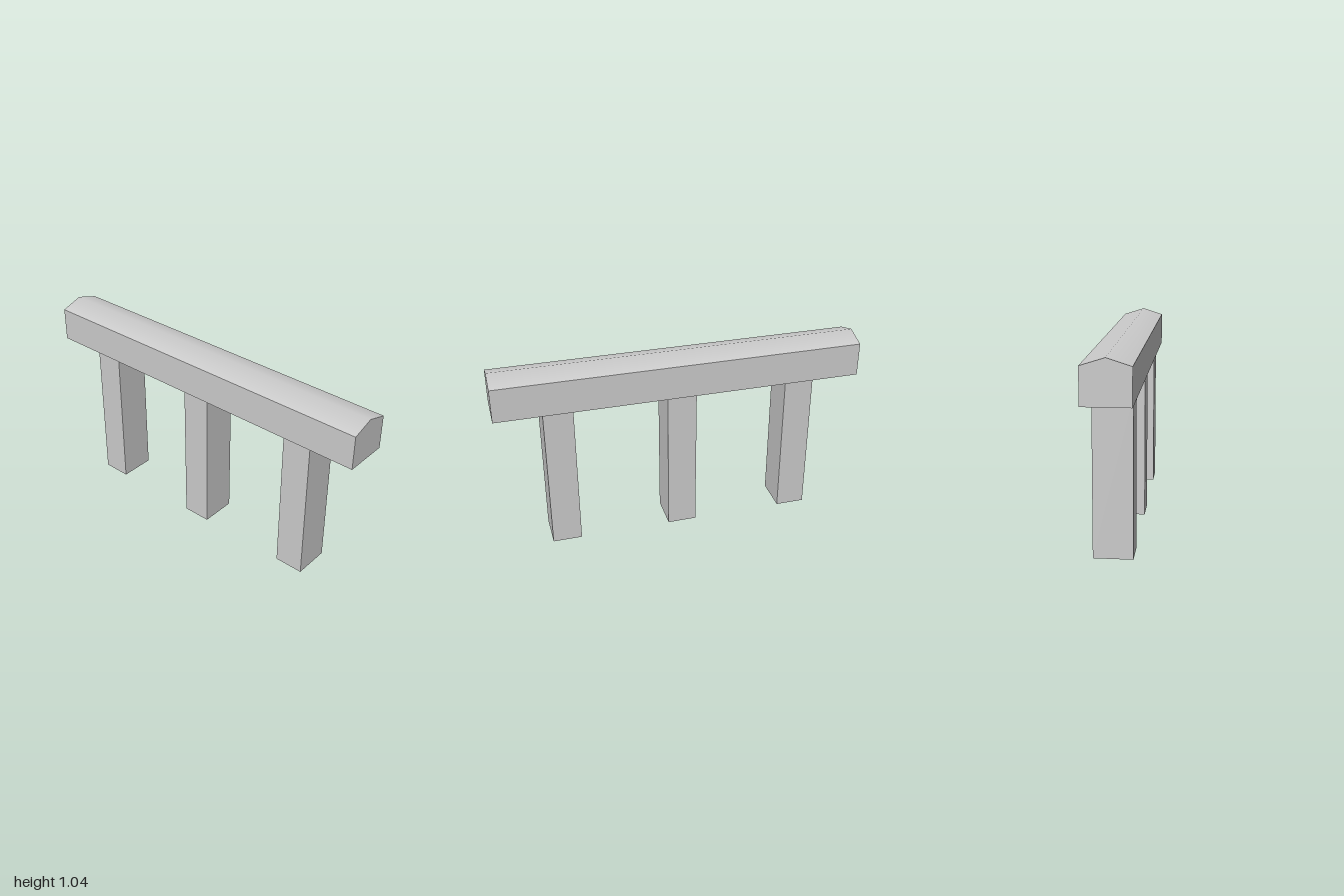
import * as THREE from 'three';

const stone = new THREE.MeshStandardMaterial({ color: 0xcccccc, side: THREE.DoubleSide });
stone.name = 'light grey stone';

const LENGTH = 2, BASE = 0.815, EAVE = 1.0, RIDGE = 1.038, HALF_DEPTH = 0.12;

// Long beam with a shallow gabled top, its two slopes shaded smoothly across the ridge
function beamGeometry() {
  const profile = new THREE.Shape([
    [-HALF_DEPTH, BASE], [HALF_DEPTH, BASE], [HALF_DEPTH, EAVE], [0, RIDGE], [-HALF_DEPTH, EAVE],
  ].map(([x, y]) => new THREE.Vector2(x, y)));
  const geometry = new THREE.ExtrudeGeometry(profile, { depth: LENGTH, bevelEnabled: false });
  geometry.translate(0, 0, -LENGTH / 2).rotateY(Math.PI / 2);
  const { position, normal } = geometry.attributes;
  for (let i = 0; i < position.count; i++) {
    if (position.getY(i) > RIDGE - 0.001 && normal.getY(i) > 0.5) normal.setXYZ(i, 0, 1, 0);
  }
  return geometry;
}

// Hollow square post, open at both ends
function postGeometry(width, height, depth) {
  const geometry = new THREE.CylinderGeometry(Math.SQRT1_2, Math.SQRT1_2, 1, 4, 1, true)
    .rotateY(Math.PI / 4)
    .scale(width, height, depth)
    .translate(0, height / 2, 0)
    .toNonIndexed();
  geometry.computeVertexNormals();
  return geometry;
}

export function createModel() {
  const model = new THREE.Group();
  model.name = 'gabledBeamOnPosts';

  const beam = new THREE.Mesh(beamGeometry(), stone);
  beam.name = 'beam';
  model.add(beam);

  // Three evenly spaced posts
  const post = postGeometry(0.16, BASE, 0.2);
  [['rightPost', -0.665], ['middlePost', 0], ['leftPost', 0.665]].forEach(([name, x]) => {
    const mesh = new THREE.Mesh(post, stone);
    mesh.name = name;
    mesh.position.x = x;
    model.add(mesh);
  });
  return model;
}
